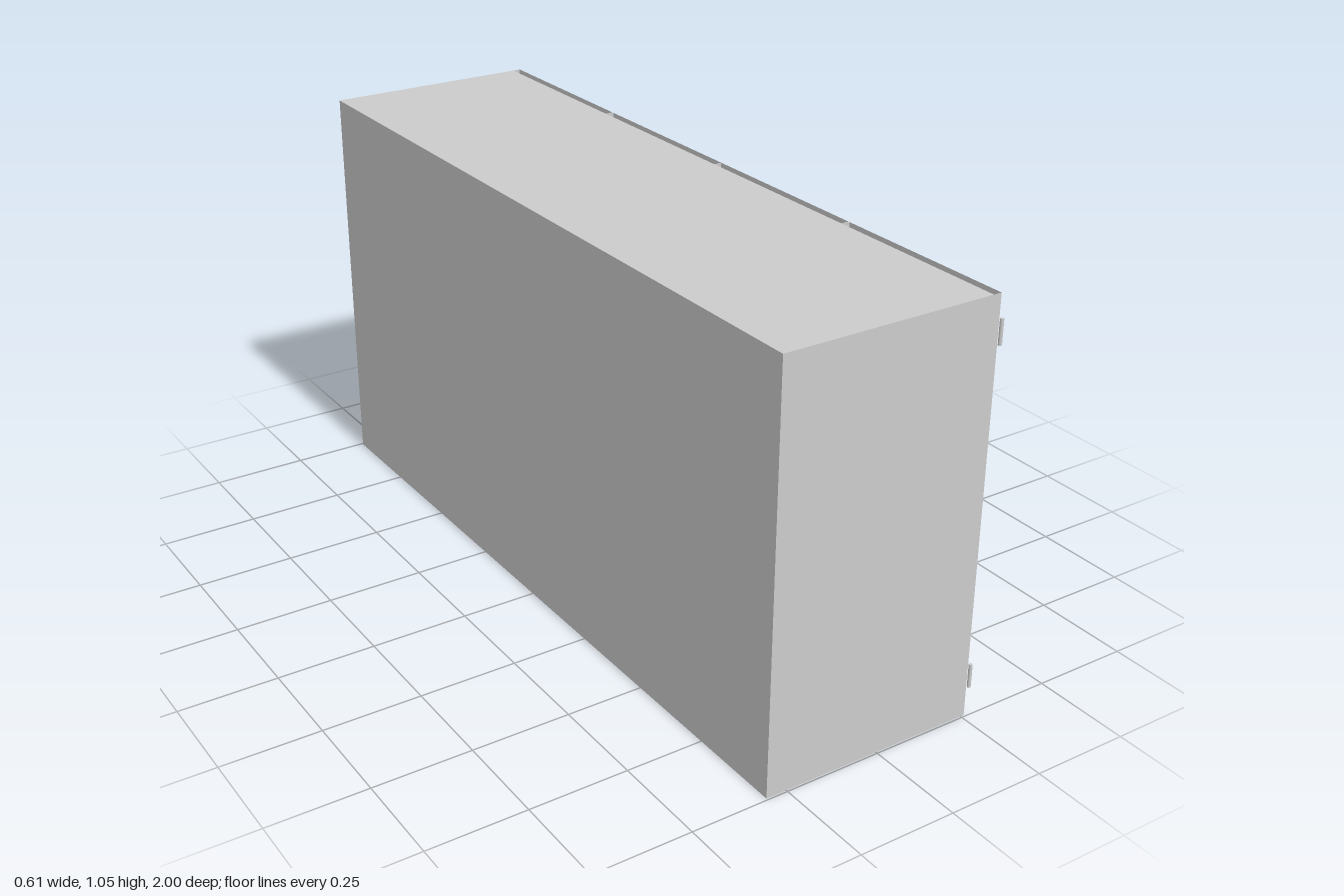
import * as THREE from 'three';

const HEIGHT = 1.048, BACK = -0.303, CARCASS_FRONT = 0.239, DOOR_FRONT = 0.26;
const HALF = 0.995;      // half of the total width along z
const GAP = 0.005;       // slit between the doors of a pair

const grey = new THREE.MeshStandardMaterial({ color: 0xcccccc });
const greySheet = new THREE.MeshStandardMaterial({ color: 0xcccccc, side: THREE.DoubleSide });

function add(parent, name, geometry, x, y, z, material = grey) {
  const mesh = new THREE.Mesh(geometry, material);
  mesh.name = name;
  mesh.position.set(x, y, z);
  parent.add(mesh);
  return mesh;
}

// Door skin: front sheet and two side edges, open at top, bottom and back
function doorGeometry(depth, height, width) {
  const g = new THREE.BoxGeometry(depth, height, width);
  const index = Array.from(g.index.array);
  g.setIndex([...index.slice(0, 6), ...index.slice(24)]);
  g.clearGroups();
  return g;
}

// Bar handle on two standoffs
function makeHandle(z) {
  const handle = new THREE.Group();
  handle.name = 'handle';
  add(handle, 'handleBar', new THREE.CylinderGeometry(0.0055, 0.0055, 0.148, 16), 0.2965, 0.169, z);
  for (const y of [0.12, 0.215]) {
    const length = 0.2965 - DOOR_FRONT;
    const post = add(handle, 'handlePost', new THREE.CylinderGeometry(0.0042, 0.0042, length, 12),
      DOOR_FRONT + length / 2, y, z);
    post.rotation.z = Math.PI / 2;
  }
  return handle;
}

export function createModel() {
  const model = new THREE.Group();
  model.name = 'wallCabinet';

  for (const side of [-1, 1]) {
    // One of two cabinets standing side by side
    const cabinet = new THREE.Group();
    cabinet.name = side > 0 ? 'frontCabinet' : 'rearCabinet';
    const centre = side * HALF / 2;
    add(cabinet, 'carcass', new THREE.BoxGeometry(CARCASS_FRONT - BACK, HEIGHT, HALF),
      (CARCASS_FRONT + BACK) / 2, HEIGHT / 2, centre);

    // Pair of doors with handles beside the slit
    const width = (HALF - GAP) / 2;
    for (const s of [-1, 1]) {
      add(cabinet, 'door', doorGeometry(DOOR_FRONT - CARCASS_FRONT, HEIGHT, width),
        (DOOR_FRONT + CARCASS_FRONT) / 2, HEIGHT / 2, centre + s * (GAP + width) / 2, greySheet);
      cabinet.add(makeHandle(centre + s * 0.0275));
    }
    model.add(cabinet);
  }

  // Hinge barrels at both ends and in the middle
  for (const z of [-HALF, 0, HALF]) {
    for (const y of [0.105, 0.958]) {
      add(model, 'hinge', new THREE.CylinderGeometry(0.0045, 0.0045, 0.061, 16), 0.268, y, z);
    }
  }
  return model;
}
